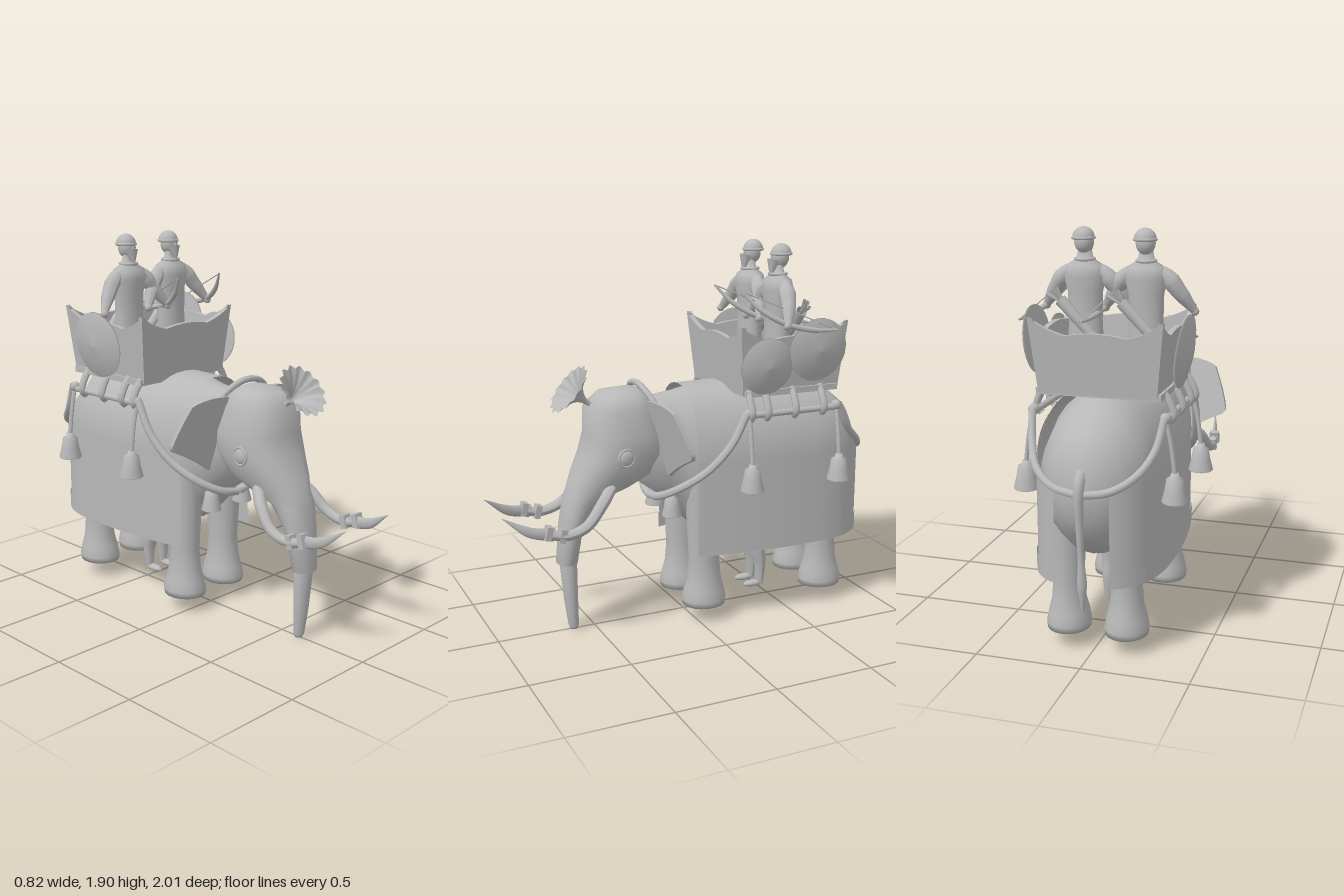
import * as THREE from 'three';
import { ParametricGeometry } from 'three/addons/geometries/ParametricGeometry.js';

const V = (x, y, z) => new THREE.Vector3(x, y, z);
const stone = new THREE.MeshStandardMaterial({ color: 0xb8b8b8, side: THREE.DoubleSide });
stone.name = 'stone grey';

function add(parent, name, geometry, x = 0, y = 0, z = 0) {
  const mesh = new THREE.Mesh(geometry, stone);
  mesh.name = name;
  mesh.position.set(x, y, z);
  parent.add(mesh);
  return mesh;
}

// Closed skin over a list of rings with equal point counts
function loft(rings) {
  const n = rings[0].length, pos = [], idx = [];
  rings.forEach(r => r.forEach(p => pos.push(p.x, p.y, p.z)));
  for (let i = 0; i < rings.length - 1; i++)
    for (let j = 0; j < n; j++) {
      const a = i * n + j, b = i * n + (j + 1) % n;
      idx.push(a, b, a + n, b, b + n, a + n);
    }
  [0, rings.length - 1].forEach((k, end) => {
    const c = rings[k].reduce((s, p) => s.add(p), V(0, 0, 0)).divideScalar(n);
    const ci = pos.push(c.x, c.y, c.z) / 3 - 1;
    for (let j = 0; j < n; j++) {
      const a = k * n + j, b = k * n + (j + 1) % n;
      idx.push(...(end ? [ci, a, b] : [ci, b, a]));
    }
  });
  const g = new THREE.BufferGeometry();
  g.setAttribute('position', new THREE.Float32BufferAttribute(pos, 3));
  // turn the faces outward when the signed volume is negative
  const p = i => V(pos[3 * i], pos[3 * i + 1], pos[3 * i + 2]);
  let vol = 0;
  for (let i = 0; i < idx.length; i += 3) vol += p(idx[i]).dot(p(idx[i + 1]).cross(p(idx[i + 2])));
  if (vol < 0) idx.reverse();
  g.setIndex(idx);
  g.computeVertexNormals();
  return g;
}
// Ring of points; a power below 1 makes it boxier
const soft = (v, e) => Math.sign(v) * Math.pow(Math.abs(v), e);
const ring = (f, n = 28, e = 1) => Array.from({ length: n }, (_, i) => f(soft(Math.cos(i / n * 2 * Math.PI), e), soft(Math.sin(i / n * 2 * Math.PI), e)));

// Tube through points, with radii spread evenly along it
function limb(points, radii, sides = 10) {
  const curve = new THREE.CatmullRomCurve3(points), seg = 24;
  const g = new THREE.TubeGeometry(curve, seg, 1, sides), a = g.attributes.position;
  for (let i = 0; i < a.count; i++) {
    const t = Math.floor(i / (sides + 1)) / seg, c = curve.getPointAt(t);
    const k = t * (radii.length - 1), m = Math.min(Math.floor(k), radii.length - 2);
    const r = THREE.MathUtils.lerp(radii[m], radii[m + 1], k - m);
    const q = V().fromBufferAttribute(a, i).sub(c).multiplyScalar(r).add(c);
    a.setXYZ(i, q.x, q.y, q.z);
  }
  g.computeVertexNormals();
  return g;
}
const lathe = (pts, n = 20) => new THREE.LatheGeometry(pts.map(p => new THREE.Vector2(p[0], p[1])), n);

// Half width of the cloth along z: rounded at the rear, slightly narrower at the front
const clothWidth = z => z < -.5
  ? .3 * Math.pow(1 - Math.pow((-.5 - z) / .48, 3), .45)
  : .3 - .055 * Math.pow((z + .5) / .53, 2);

function bell(parent, x, y, z, s = 1) {
  const b = add(parent, 'bell', lathe([[0, .135], [.018, .135], [.02, .12], [.038, .11], [.046, .06], [.06, .005], [.056, 0], [.04, .05], [0, .08]]), x, y, z);
  b.scale.setScalar(s);
  add(parent, 'bellClapper', new THREE.SphereGeometry(.018 * s, 10, 8), x, y + .005, z);
}

// Archer standing in the tower
function archer(x) {
  const g = new THREE.Group();
  g.name = 'archer';
  g.position.x = x;
  add(g, 'torso', lathe([[.09, 1.22], [.08, 1.47], [.083, 1.6], [.1, 1.67], [.088, 1.72], [.04, 1.75], [.03, 1.8]]), 0, 0, -.445).scale.z = .72;
  add(g, 'collar', new THREE.TorusGeometry(.042, .008, 8, 20), 0, 1.748, -.445).rotation.x = Math.PI / 2;
  add(g, 'head', new THREE.SphereGeometry(.045, 18, 14), 0, 1.828, -.455).scale.y = 1.2;
  add(g, 'cap', new THREE.SphereGeometry(.051, 20, 10, 0, 2 * Math.PI, 0, Math.PI / 2), 0, 1.845, -.462);
  add(g, 'capBand', new THREE.TorusGeometry(.048, .008, 8, 24), 0, 1.845, -.462).rotation.x = Math.PI / 2;
  add(g, 'beard', new THREE.ConeGeometry(.036, .09, 10), 0, 1.772, -.412).rotation.x = Math.PI - .25;
  add(g, 'nose', new THREE.ConeGeometry(.01, .03, 6), 0, 1.83, -.408);
  for (const s of [-1, 1]) {
    add(g, 'arm', limb([V(.05 * s, 1.71, -.445), V(.1 * s, 1.675, -.44), V(.148 * s, 1.612, -.425), V(.21 * s, 1.525, -.39)], [.028, .041, .034, .018]));
    add(g, 'hand', new THREE.SphereGeometry(.02, 10, 8), .212 * s, 1.52, -.385);
  }
  const tips = [V(.245, 1.49, -.65), V(.105, 1.685, -.19)];
  add(g, 'bow', limb([tips[0], V(.232, 1.495, -.52), V(.205, 1.53, -.38), V(.155, 1.6, -.265), tips[1]], [.005, .013, .014, .013, .005], 8));
  add(g, 'bowString', limb([tips[0], tips[1]], [.003, .003], 5));
  add(g, 'quiver', limb([V(-.07, 1.4, -.53), V(.09, 1.57, -.535)], [.022, .028]));
  for (let i = -2; i <= 2; i++)
    add(g, 'arrow', limb([V(.07, 1.55, -.535), V(.13 + i * .012, 1.61 - i * .008, -.54 + (i % 2) * .012)], [.004, .01], 5));
  return g;
}

export function createModel() {
  const model = new THREE.Group();
  model.name = 'warElephant';

  // Body and neck: z, centre y, half width, half height
  add(model, 'body', loft([[-.972, .8, .02, .03], [-.955, .81, .1, .15], [-.9, .81, .18, .24], [-.8, .8, .245, .33], [-.65, .82, .268, .375],
    [-.35, .82, .275, .38], [-.05, .83, .24, .37], [.05, .86, .195, .32], [.13, .905, .165, .265], [.28, .95, .155, .2]]
    .map(([z, y, w, h]) => ring((c, s) => V(w * c, y + h * s, z)))));
  // Head and trunk: y, centre z, half width, half depth
  add(model, 'headAndTrunk', loft([[1.215, .31, .05, .05], [1.195, .335, .125, .12], [1.13, .35, .17, .172], [1.0, .325, .192, .2], [.9, .34, .192, .215],
    [.8, .39, .16, .212], [.735, .46, .122, .165], [.68, .555, .108, .09], [.55, .612, .09, .058], [.36, .637, .068, .052]]
    .map(([y, z, w, d]) => ring((c, s) => V(w * c, y, z + d * s), 32, y > .6 ? .85 : 1))));
  add(model, 'trunkTip', loft([[.39, .632, .055, .044], [.15, .62, .04, .034], [.02, .61, .028, .026], [0, .608, .018, .018]]
    .map(([y, z, w, d]) => ring((c, s) => V(w * c, y, z + d * s), 16))));

  // Round shield leaning on a tower side
  const shield = (s, x, y, z, r) => {
    const disc = lathe([[0, .035], [r * .5, .025], [r, .004], [r, -.006], [0, -.006]], 36);
    add(model, 'shield', disc, x * s, y, z).rotation.z = -s * (Math.PI / 2 + .12);
  };
  shield(1, .328, 1.325, -.295, .14);
  shield(1, .338, 1.39, -.57, .158);
  shield(-1, .335, 1.35, -.475, .168);

  for (const s of [-1, 1]) {
    // Legs
    for (const [name, z] of [['frontLeg', -.05], ['rearLeg', -.74]])
      add(model, name, lathe([[0, .08], [.112, .08], [.116, .11], [.105, .16], [.088, .22], [.08, .32], [.09, .5], [.1, .75]], 18), .14 * s, 0, z).scale.x = .9;

    // Ear, slanting back toward its lower and outer edges
    const sh = new THREE.Shape();
    sh.moveTo(.14, 1.17);
    sh.quadraticCurveTo(.26, 1.18, .33, 1.14);
    sh.quadraticCurveTo(.38, 1.03, .398, .95);
    sh.quadraticCurveTo(.4, .92, .37, .91);
    sh.quadraticCurveTo(.26, .86, .17, .79);
    sh.lineTo(.14, 1.17);
    const ear = new THREE.ExtrudeGeometry(sh, { depth: .022, bevelEnabled: false, curveSegments: 8 });
    const p = ear.attributes.position;
    for (let i = 0; i < p.count; i++) p.setZ(i, p.getZ(i) + .235 - .25 * (1.2 - p.getY(i)) - .25 * (p.getX(i) - .2));
    if (s < 0) {
      ear.scale(-1, 1, 1);
      flip(ear);
    }
    ear.computeVertexNormals();
    add(model, 'ear', ear);

    add(model, 'eye', new THREE.SphereGeometry(.038, 16, 10), .188 * s, .91, .385).scale.x = .4;
    add(model, 'eyeRim', new THREE.TorusGeometry(.042, .007, 8, 24), .19 * s, .91, .385).rotation.y = Math.PI / 2 + .1 * s;

    // Tusk with metal collars and a narrow pointed blade
    add(model, 'tusk', limb([V(.12 * s, .75, .44), V(.175 * s, .69, .51), V(.203 * s, .6, .6), V(.203 * s, .57, .7), V(.196 * s, .59, .8)], [.03, .03, .027, .024, .022]));
    for (const [y, z] of [[.575, .72], [.597, .79]]) add(model, 'tuskCollar', new THREE.BoxGeometry(.05, .066, .03), .198 * s, y, z).rotation.x = -.25;
    add(model, 'tuskBlade', limb([V(.395 * s, .585, .76), V(.365 * s, .605, .87), V(.31 * s, .685, 1)], [.034, .024, .001], 6)).scale.x = .5;

    // Rear of the cloth, cut along the rear rope
    add(model, 'clothRear', new ParametricGeometry((u, v, t) => {
      const z = -.7 - .255 * u, top = 1.08 - .27 * u, y = .38 + (top - .38) * v;
      const k = Math.max(0, (y - .85) / .365);
      t.set(s * clothWidth(z) * Math.pow(1 - k * k, .4), y, z);
    }, 20, 12));
    add(model, 'clothBorder', new ParametricGeometry((u, v, t) => {
      const z = .032 - .985 * u;
      t.set(s * (clothWidth(z) + .007), .375 + .085 * v, z);
    }, 40, 1));

    // Saddle rod, straps, ropes and bells
    add(model, 'saddleRod', limb([V(.308 * s, 1.085, -.19), V(.308 * s, 1.085, -.73)], [.016, .016]));
    for (const z of [-.22, -.31, -.465, -.625])
      add(model, 'strap', limb([V(.27 * s, 1.2, z), V(.305 * s, 1.15, z), V(.325 * s, 1.09, z), V(.3 * s, 1.06, z)], [.018, .018], 8));
    for (const z of [-.21, -.705]) {
      add(model, 'rodKnob', new THREE.SphereGeometry(.026, 12, 10), .308 * s, 1.095, z);
      add(model, 'bellRope', limb([V(.31 * s, 1.09, z), V(.335 * s, .97, z), V(.352 * s, .84, z)], [.011, .011], 8));
      bell(model, .352 * s, .715, z);
    }
    add(model, 'neckRope', limb([V(.308 * s, 1.1, -.2), V(.305 * s, .95, -.12), V(.27 * s, .82, -.01), V(.205 * s, .73, .11), V(.1 * s, .67, .18), V(0, .65, .19)], [.02, .02]));
    add(model, 'rearRope', limb([V(.308 * s, 1.1, -.72), V(.285 * s, .97, -.79), V(.23 * s, .88, -.885), V(.13 * s, .82, -.95), V(0, .8, -.975)], [.018, .018]));
    bell(model, .11 * s, .56, .115, .85);

    // Attendant's legs under the belly
    add(model, 'attendantLeg', limb([V(.05 * s, .55, -.42), V(.05 * s, .3, -.41), V(.05 * s, .2, -.425), V(.05 * s, .09, -.425)], [.055, .046, .036, .02]));
    add(model, 'attendantFoot', new THREE.SphereGeometry(.03, 12, 8), .05 * s, .092, -.385).scale.set(.8, .6, 1.9);
  }

  // Saddle cloth draped over the back
  add(model, 'clothMain', new ParametricGeometry((u, v, t) => {
    const z = .03 - .73 * u, w = clothWidth(z), side = v < .5 ? -1 : 1, k = 1 - Math.abs(v - .5) * 2;
    if (k < .4) t.set(side * w, .38 + .47 * k / .4, z);
    else {
      const a = (k - .4) / .6 * Math.PI / 2;
      t.set(side * w * Math.pow(Math.max(0, Math.cos(a)), .8), .85 + .36 * Math.sin(a), z);
    }
  }, 20, 40));
  add(model, 'attendantTunic', new THREE.CylinderGeometry(.09, .105, .2, 16), 0, .45, -.42).scale.z = .6;

  // Head strap and flared plume
  add(model, 'headStrap', limb([V(-.19, 1.03, .2), V(-.165, 1.15, .225), V(-.09, 1.215, .25), V(0, 1.235, .255), V(.09, 1.215, .25), V(.165, 1.15, .225), V(.19, 1.03, .2)], [.016, .016]));
  const plume = add(model, 'plume', new ParametricGeometry((u, v, t) => {
    const a = u * Math.PI * 2, tooth = Math.abs((u * 14) % 1 - .5) * 2;
    const r = .012 + .126 * Math.pow(v, 2.8) * (1 - .16 * tooth * v * v);
    t.set(r * Math.cos(a), .14 * v, r * Math.sin(a));
  }, 56, 14), 0, 1.145, .495);
  plume.quaternion.setFromUnitVectors(V(0, 1, 0), V(0, .62, .78).normalize());

  // Tail with tuft
  add(model, 'tail', limb([V(0, .9, -.94), V(0, .84, -.98), V(0, .65, -.975), V(0, .45, -.96), V(0, .36, -.955), V(0, .24, -.955)], [.028, .022, .018, .014, .024, .002]));

  // Tower: four flared walls with raised corners
  const tower = new THREE.Group();
  tower.name = 'tower';
  tower.position.z = -.46;
  model.add(tower);
  const wall = (bottom, top, offBottom, offTop, turn) => {
    const sh = new THREE.Shape();
    sh.moveTo(-bottom, 1.18);
    sh.lineTo(bottom, 1.18);
    sh.lineTo(top, 1.52);
    sh.quadraticCurveTo(top * .75, 1.465, top * .45, 1.445);
    sh.quadraticCurveTo(0, 1.475, -top * .45, 1.445);
    sh.quadraticCurveTo(-top * .75, 1.465, -top, 1.52);
    const g = new THREE.ExtrudeGeometry(sh, { depth: .026, bevelEnabled: false, curveSegments: 8 });
    const p = g.attributes.position;
    for (let i = 0; i < p.count; i++) p.setZ(i, p.getZ(i) - .026 + THREE.MathUtils.mapLinear(p.getY(i), 1.18, 1.52, offBottom, offTop));
    g.computeVertexNormals();
    add(tower, 'towerWall', g).rotation.y = turn;
  };
  for (const t of [0, Math.PI]) {
    wall(.275, .31, .268, .298, t);
    wall(.268, .298, .275, .31, t + Math.PI / 2);
  }
  add(tower, 'towerFloor', new THREE.BoxGeometry(.54, .06, .52), 0, 1.215, 0);
  add(tower, 'towerBase', new THREE.BoxGeometry(.58, .03, .52), 0, 1.185, 0);

  model.add(archer(-.145), archer(.145));
  return model;
}

// Reverse the winding of an unindexed geometry
function flip(g) {
  const p = g.attributes.position, a = V(), b = V();
  for (let i = 0; i < p.count; i += 3) {
    a.fromBufferAttribute(p, i);
    b.fromBufferAttribute(p, i + 1);
    p.setXYZ(i, b.x, b.y, b.z);
    p.setXYZ(i + 1, a.x, a.y, a.z);
  }
}
